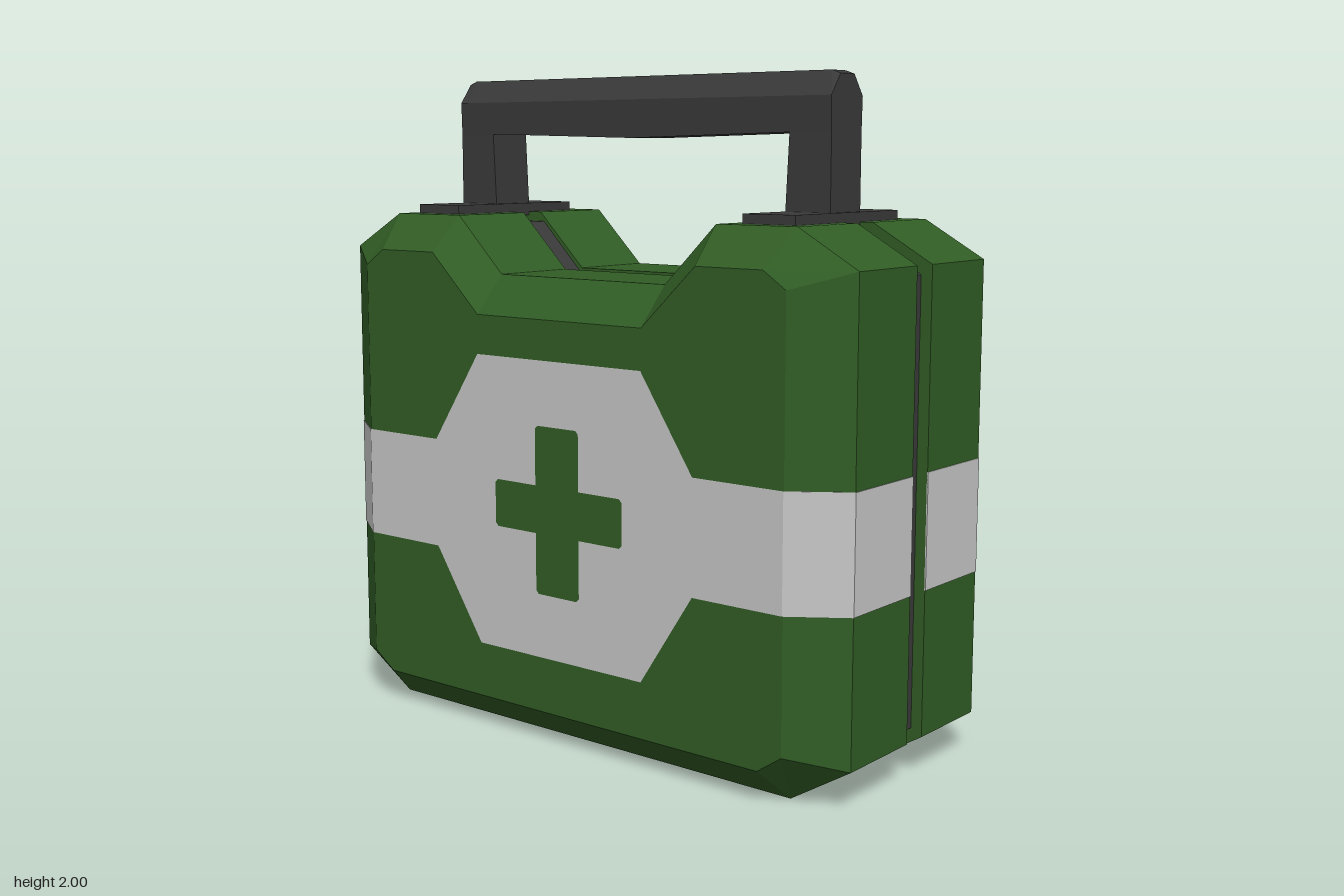
import * as THREE from 'three';

const paint = (name, color) => {
  const m = new THREE.MeshStandardMaterial({ color });
  m.name = name;
  return m;
};

// Closed faceted solid through matching counter-clockwise sections [z, points]
function loft(sections) {
  const pos = [];
  const put = (s, i) => pos.push(s[1][i][0], s[1][i][1], s[0]);
  const n = sections[0][1].length;
  for (let k = 0; k < sections.length - 1; k++) {
    const p = sections[k], q = sections[k + 1];
    for (let i = 0; i < n; i++) {
      const j = (i + 1) % n;
      put(p, i); put(p, j); put(q, j);
      put(p, i); put(q, j); put(q, i);
    }
  }
  const cap = (s, flip) => {
    const pts = s[1].map(([x, y]) => new THREE.Vector2(x, y));
    for (const [a, b, c] of THREE.ShapeUtils.triangulateShape(pts, [])) {
      put(s, a); put(s, flip ? c : b); put(s, flip ? b : c);
    }
  };
  cap(sections[0], true);
  cap(sections[sections.length - 1], false);
  const g = new THREE.BufferGeometry();
  g.setAttribute('position', new THREE.Float32BufferAttribute(pos, 3));
  g.computeVertexNormals();
  return g;
}

// Complete an outline from its right side, listed bottom to top
const mirrorX = (right) => [...right, ...right.map(([x, y]) => [-x, y]).reverse()];
const path = (pts, Type) => new Type(pts.map(([x, y]) => new THREE.Vector2(x, y)));

export function createModel() {
  const green = paint('caseGreen', 0x315d25);
  const white = paint('bandWhite', 0xc8c8c8);
  const dark = paint('handleGrey', 0x3a3a3a);

  const model = new THREE.Group();
  model.name = 'firstAidCase';
  const add = (parent, name, geometry, material) => {
    const mesh = new THREE.Mesh(geometry, material);
    mesh.name = name;
    parent.add(mesh);
    return mesh;
  };

  // Case outlines: full size, bevelled face, recessed core
  const outer = mirrorX([[0.77, 0], [0.965, 0.12], [0.965, 1.47], [0.77, 1.58], [0.5, 1.58], [0.32, 1.405]]);
  const face = mirrorX([[0.73, 0.1], [0.81, 0.155], [0.81, 1.42], [0.735, 1.47], [0.51, 1.47], [0.32, 1.29]]);
  const inner = mirrorX([[0.755, 0.03], [0.93, 0.14], [0.93, 1.44], [0.76, 1.55], [0.485, 1.55], [0.305, 1.37]]);

  const shellGeo = loft([[0.04, outer], [0.33, outer], [0.437, face]]);

  // Badge plate with a cross cut through to the green
  const badge = path(mirrorX([[0.32, 0.27], [0.505, 0.55], [0.81, 0.55], [0.81, 0.89], [0.505, 0.89], [0.32, 1.17]]), THREE.Shape);
  const r = 0.01;
  badge.holes.push(path(mirrorX([
    [0.085 - r, 0.465], [0.085, 0.465 + r], [0.085, 0.65], [0.25 - r, 0.65], [0.25, 0.65 + r],
    [0.25, 0.795 - r], [0.25 - r, 0.795], [0.085, 0.795], [0.085, 0.975 - r], [0.085 - r, 0.975],
  ]), THREE.Path));
  const badgeGeo = new THREE.ShapeGeometry(badge);
  badgeGeo.translate(0, 0, 0.4395);

  // Band wrapping one side and its bevel, as a thin strip in plan
  const strip = path([
    [0.967, -0.04], [0.967, -0.331], [0.81, -0.4395], [0.81, -0.435], [0.963, -0.329], [0.963, -0.04],
  ], THREE.Shape);
  const bandGeo = new THREE.ExtrudeGeometry(strip, { depth: 0.34, bevelEnabled: false });
  bandGeo.rotateX(-Math.PI / 2);
  bandGeo.translate(0, 0.55, 0);

  // Mirrored copy of the band for the other side
  const otherStrip = path(strip.getPoints().map((p) => [-p.x, p.y]), THREE.Shape);
  const otherBandGeo = new THREE.ExtrudeGeometry(otherStrip, { depth: 0.34, bevelEnabled: false });
  otherBandGeo.rotateX(-Math.PI / 2);
  otherBandGeo.translate(0, 0.55, 0);

  // Two matching halves
  for (const [name, turn] of [['frontHalf', 0], ['backHalf', Math.PI]]) {
    const half = new THREE.Group();
    half.name = name;
    half.rotation.y = turn;
    add(half, 'shell', shellGeo, green);
    add(half, 'badge', badgeGeo, white);
    add(half, 'leftBand', bandGeo, white);
    add(half, 'rightBand', otherBandGeo, white);
    model.add(half);
  }

  // Recessed seam between the halves
  add(model, 'seam', loft([[-0.042, inner], [0.042, inner]]), dark);

  // Handle: bevelled grip, tapered posts and mounting plates
  const handle = new THREE.Group();
  handle.name = 'handle';
  handle.position.z = 0.02;
  model.add(handle);

  const section = (bottom, top) => mirrorX([[0.076, bottom], [0.079, 1.93], [0.035, top]]);
  const grip = add(handle, 'grip', loft([
    [-0.718, section(1.83, 1.99)], [-0.69, section(1.83, 2)], [-0.58, section(1.83, 2)],
    [0, section(1.816, 2)],
    [0.58, section(1.83, 2)], [0.69, section(1.83, 2)], [0.718, section(1.83, 1.99)],
  ]), dark);
  grip.rotation.y = Math.PI / 2;

  for (const [side, s] of [['left', 1], ['right', -1]]) {
    const postGeo = new THREE.BoxGeometry(0.14, 0.24, 0.152);
    const p = postGeo.attributes.position;
    for (let i = 0; i < p.count; i++) {
      // Widen the foot toward the middle
      if (p.getY(i) < 0 && p.getX(i) * s < 0) p.setX(i, p.getX(i) - s * 0.012);
    }
    postGeo.computeVertexNormals();
    add(handle, side + 'Post', postGeo, dark).position.set(s * 0.648, 1.715, 0);
    add(handle, side + 'Plate', new THREE.BoxGeometry(0.176, 0.04, 0.52), dark).position.set(s * 0.641, 1.588, 0);
  }
  return model;
}
